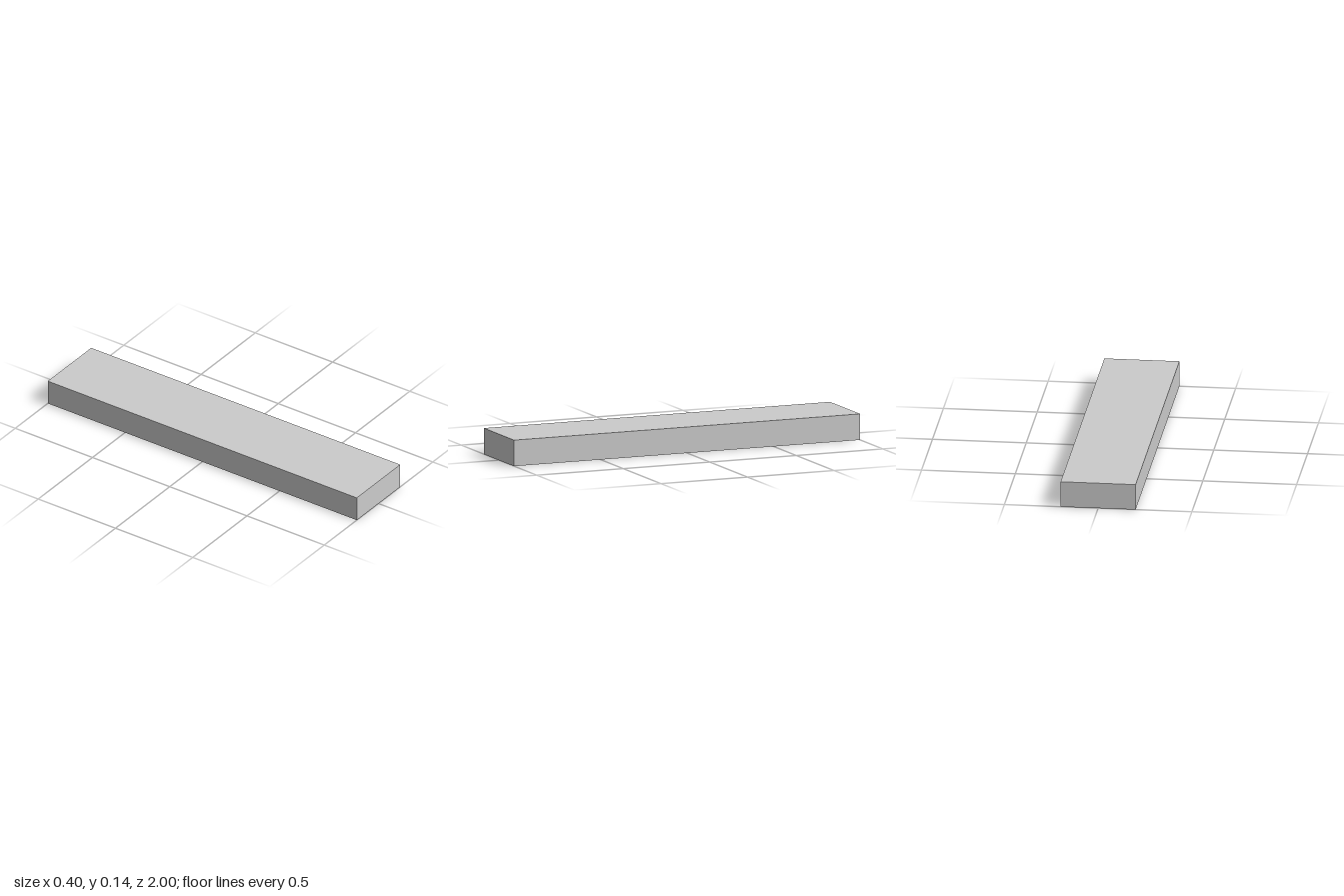
import * as THREE from 'three';

const WIDTH = 0.4, HEIGHT = 0.14, LENGTH = 2;
const RIM = 0.04;         // thickness of the outer walls
const CEILING = 0.12;     // underside of the top plate
const RIB = 0.02;         // thickness of the ribs
const RIB_BOTTOM = 0.025; // ribs stop short of the rim
const CELLS = 12;         // cells per row

// Joins rectangular loops [halfWidth, halfLength, y] into one flat-faced skin.
function rectangularSkin(loops) {
  const signs = [[1, 1], [1, -1], [-1, -1], [-1, 1]];
  const corner = ([w, l, y], i) => [signs[i % 4][0] * w, y, signs[i % 4][1] * l];
  const positions = [];
  for (let k = 0; k < loops.length - 1; k++) {
    for (let i = 0; i < 4; i++) {
      const a = corner(loops[k], i), b = corner(loops[k + 1], i);
      const c = corner(loops[k + 1], i + 1), d = corner(loops[k], i + 1);
      if (loops[k + 1][0] > 0) positions.push(...a, ...b, ...c);
      if (loops[k][0] > 0) positions.push(...a, ...c, ...d);
    }
  }
  const geometry = new THREE.BufferGeometry();
  geometry.setAttribute('position', new THREE.Float32BufferAttribute(positions, 3));
  geometry.computeVertexNormals();
  return geometry;
}

export function createModel() {
  const model = new THREE.Group();
  model.name = 'ribbedPlank';
  const material = new THREE.MeshStandardMaterial({ color: 0xcccccc, flatShading: true });

  const add = (parent, name, geometry, x = 0, y = 0, z = 0) => {
    const mesh = new THREE.Mesh(geometry, material);
    mesh.name = name;
    mesh.position.set(x, y, z);
    parent.add(mesh);
  };

  // Hollow shell, open underneath: top, outer walls, rim, inner walls, ceiling
  const w = WIDTH / 2, l = LENGTH / 2;
  add(model, 'shell', rectangularSkin([
    [0, 0, HEIGHT], [w, l, HEIGHT], [w, l, 0],
    [w - RIM, l - RIM, 0], [w - RIM, l - RIM, CEILING], [0, 0, CEILING],
  ]));

  // Grid of ribs inside the shell
  const ribs = new THREE.Group();
  ribs.name = 'ribs';
  model.add(ribs);
  const ribHeight = CEILING - RIB_BOTTOM;
  const ribY = RIB_BOTTOM + ribHeight / 2;
  const innerLength = LENGTH - 2 * RIM;
  add(ribs, 'centreRib', new THREE.BoxGeometry(RIB, ribHeight, innerLength), 0, ribY, 0);

  // Cross ribs, one half on each side of the centre rib
  const halfSpan = w - RIM - RIB / 2;
  const crossGeometry = new THREE.BoxGeometry(halfSpan, ribHeight, RIB);
  const pitch = (innerLength + RIB) / CELLS;
  for (let i = 1; i < CELLS; i++) {
    for (const side of [-1, 1]) {
      add(ribs, 'crossRib', crossGeometry, side * (RIB + halfSpan) / 2, ribY, (i - CELLS / 2) * pitch);
    }
  }
  return model;
}
